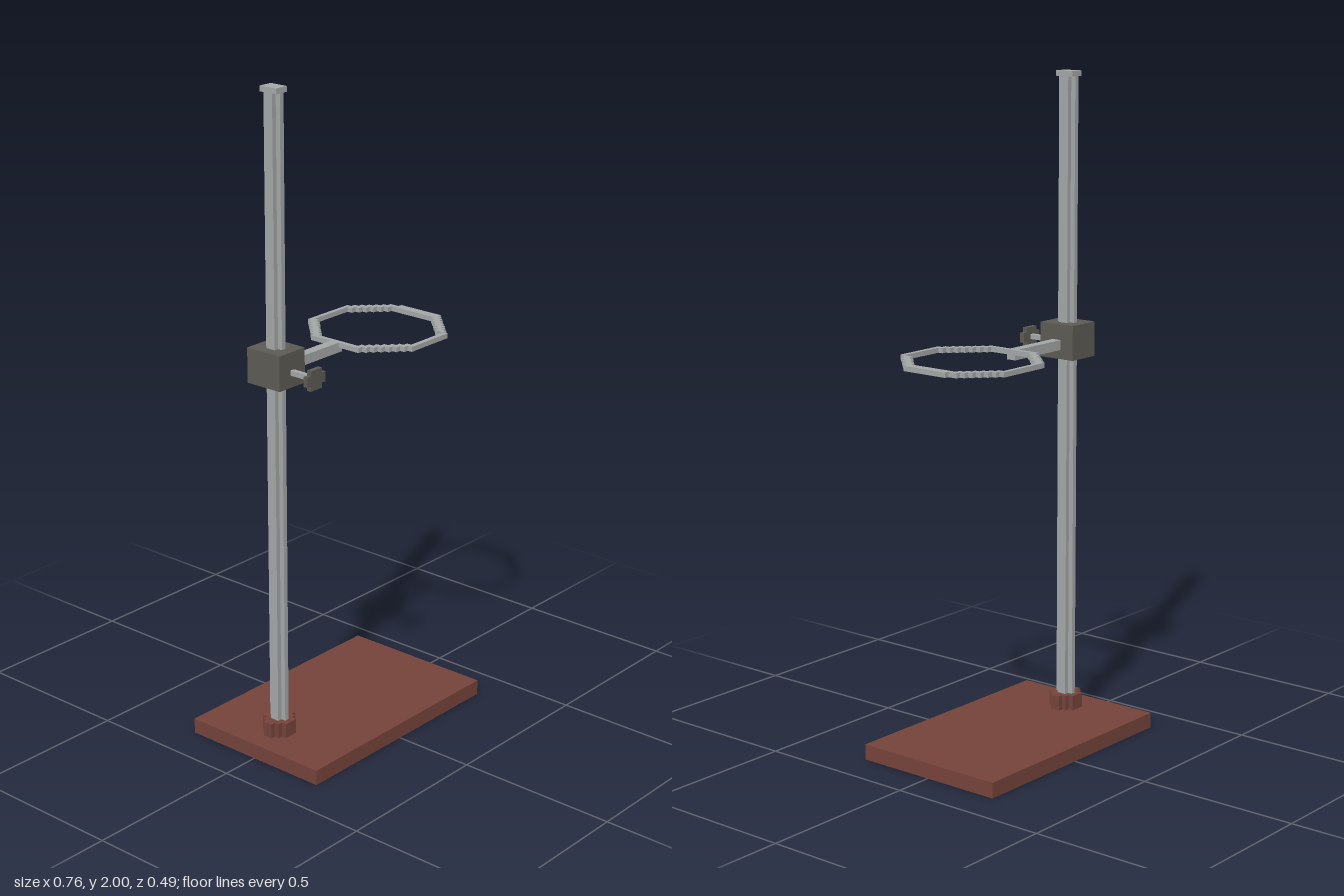
import * as THREE from 'three';

const mat = (name, color) => {
  const m = new THREE.MeshStandardMaterial({ color });
  m.name = name;
  return m;
};

export function createModel() {
  const model = new THREE.Group();
  model.name = 'ringStand';
  const brown = mat('redBrown', 0x74433a);
  const steel = mat('steelGrey', 0xa3a6a6);
  const dark = mat('darkGrey', 0x5c5a53);

  const group = (name) => {
    const g = new THREE.Group();
    g.name = name;
    model.add(g);
    return g;
  };
  // box given by its lower and upper corner
  const box = (parent, name, material, x0, x1, y0, y1, z0, z1) => {
    const m = new THREE.Mesh(new THREE.BoxGeometry(x1 - x0, y1 - y0, z1 - z0), material);
    m.position.set((x0 + x1) / 2, (y0 + y1) / 2, (z0 + z1) / 2);
    m.name = name;
    parent.add(m);
  };
  // stepped outline from quarter corners [halfWidth, halfHeight], widest first
  const stepped = (parent, name, material, corners, depth) => {
    const quarter = [];
    corners.forEach(([w, h], i) => {
      if (i) quarter.push([w, corners[i - 1][1]]);
      quarter.push([w, h]);
    });
    const flip = (sx, sy) => quarter.map(([x, y]) => new THREE.Vector2(sx * x, sy * y));
    const pts = [...flip(1, 1), ...flip(-1, 1).reverse(), ...flip(-1, -1), ...flip(1, -1).reverse()];
    const geo = new THREE.ExtrudeGeometry(new THREE.Shape(pts), { depth, bevelEnabled: false });
    const m = new THREE.Mesh(geo, material);
    m.name = name;
    parent.add(m);
    return m;
  };

  const p = 0.0155; // step size
  const cx = -0.268; // rod axis

  // base plate and collar
  box(model, 'base', brown, -0.38, 0.38, 0, 0.047, -0.245, 0.245);
  const collar = stepped(model, 'collar', brown, [[0.053, 0.015], [0.038, 0.03], [0.023, 0.046]], 0.046);
  collar.rotation.x = -Math.PI / 2;
  collar.position.set(cx, 0.047, 0);

  // upright rod with cross-shaped section and square cap
  const rod = stepped(model, 'rod', steel, [[0.022, 0.015], [0.0075, 0.03]], 1.937);
  rod.rotation.x = -Math.PI / 2;
  rod.position.set(cx, 0.047, 0);
  box(model, 'rodCap', steel, cx - 0.022, cx + 0.022, 1.984, 2, -0.03, 0.03);

  // clamp with thumb screw
  box(model, 'clamp', dark, -0.321, -0.215, 1.15, 1.255, -0.061, 0.061);
  box(model, 'screw', steel, cx - 0.0075, cx + 0.0075, 1.187, 1.202, 0.06, 0.137);
  const knob = stepped(model, 'knob', dark, [[0.038, 0.015], [0.023, 0.03]], 0.015);
  knob.position.set(cx, 1.194, 0.137);

  // arm
  box(model, 'arm', steel, -0.215, -0.001, 1.178, 1.208, -0.016, 0.0145);

  // stepped octagonal ring
  const ring = group('ring');
  const bar = (name, x0, x1, z0, z1) => box(ring, name, steel, x0, x1, 1.193, 1.208, z0, z1);
  bar('ringNearSide', -0.016, -0.0005, -0.091, 0.09);
  bar('ringBackSide', 0.108, 0.258, -0.2, -0.186);
  bar('ringFrontSide', 0.108, 0.258, 0.184, 0.199);
  bar('ringFarSide', 0.351, 0.38, -0.077, 0.077);
  for (let k = 1; k <= 7; k++) {
    const x = -0.016 + k * p, z = 0.091 + k * p;
    bar('ringStep', x, x + p, -z, -z + 2 * p);
    bar('ringStep', x, x + p, z - 2 * p, z);
  }
  for (let k = 0; k <= 6; k++) {
    const x = 0.258 + k * p;
    bar('ringStep', x, x + p, -0.2 + k * p, -0.2 + (k + 2) * p);
    bar('ringStep', x, x + p, 0.153 - k * p, 0.183 - k * p);
  }
  return model;
}
